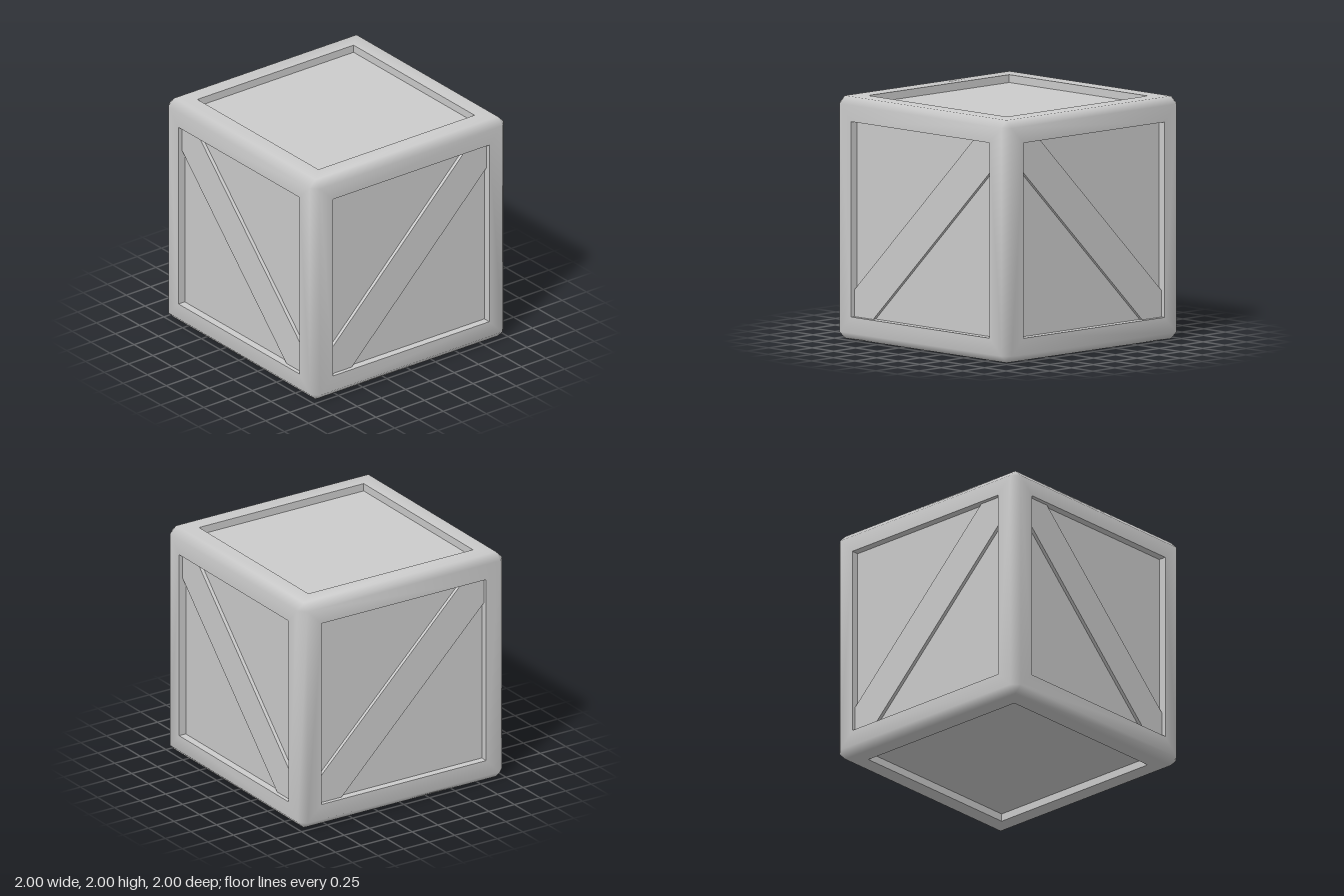
import * as THREE from 'three';
import { mergeVertices } from 'three/addons/utils/BufferGeometryUtils.js';

const OUTER = 0.94;   // where the bevel starts
const INNER = 0.805;  // half width of each recessed opening
const PANEL = 0.935;  // panel distance from the centre
const BRACE = 0.03;   // brace thickness

const grey = (options = {}) => new THREE.MeshStandardMaterial({ color: 0xcccccc, ...options });

// Bevelled frame: four border quads per face, a chamfer per edge, a triangle per corner
function frameGeometry() {
  const positions = [];
  const addTriangle = (a, b, c) => {
    const normal = b.clone().sub(a).cross(c.clone().sub(a));
    const outward = normal.dot(a.clone().add(b).add(c)) > 0;
    for (const p of outward ? [a, b, c] : [a, c, b]) positions.push(p.x, p.y, p.z);
  };
  const addQuad = (a, b, c, d) => { addTriangle(a, b, c); addTriangle(a, c, d); };
  // Point given by its coordinates along axis, axis + 1 and axis + 2
  const point = (axis, u, v, w) => {
    const p = new THREE.Vector3();
    [u, v, w].forEach((value, k) => p.setComponent((axis + k) % 3, value));
    return p;
  };
  const ring = [[-1, -1], [1, -1], [1, 1], [-1, 1]];

  for (let axis = 0; axis < 3; axis++) {
    for (const side of [-1, 1]) {
      ring.forEach(([v, w], i) => {
        const [v2, w2] = ring[(i + 1) % 4];
        addQuad(
          point(axis, side, v * OUTER, w * OUTER), point(axis, side, v2 * OUTER, w2 * OUTER),
          point(axis, side, v2 * INNER, w2 * INNER), point(axis, side, v * INNER, w * INNER));
      });
    }
    // Edge chamfers running along this axis
    for (const [v, w] of ring) {
      addQuad(
        point(axis, -OUTER, v, w * OUTER), point(axis, OUTER, v, w * OUTER),
        point(axis, OUTER, v * OUTER, w), point(axis, -OUTER, v * OUTER, w));
    }
  }
  for (const x of [-1, 1]) for (const [y, z] of ring) {
    addTriangle(
      new THREE.Vector3(x, y * OUTER, z * OUTER),
      new THREE.Vector3(x * OUTER, y, z * OUTER),
      new THREE.Vector3(x * OUTER, y * OUTER, z));
  }

  const geometry = new THREE.BufferGeometry();
  geometry.setAttribute('position', new THREE.Float32BufferAttribute(positions, 3));
  const smooth = mergeVertices(geometry, 1e-4);
  smooth.computeVertexNormals();
  return smooth;
}

// Diagonal brace trimmed to the opening; direction mirrors it
function braceGeometry(direction) {
  const h = INNER, c = 0.585;
  const outline = [[-h, h], [-h, c], [c, -h], [h, -h], [h, -c], [-c, h]];
  const shape = new THREE.Shape(outline.map(([x, y]) => new THREE.Vector2(x * direction, y)));
  return new THREE.ExtrudeGeometry(shape, { depth: BRACE, bevelEnabled: false });
}

export function createModel() {
  const crate = new THREE.Group();
  crate.name = 'crate';
  const body = new THREE.Group();
  body.name = 'body';
  body.position.y = 1;
  crate.add(body);

  const add = (parent, name, geometry, material = grey()) => {
    const mesh = new THREE.Mesh(geometry, material);
    mesh.name = name;
    parent.add(mesh);
    return mesh;
  };
  add(body, 'frame', frameGeometry());

  // Square sleeve lining each opening
  const sleeve = new THREE.CylinderGeometry(INNER * Math.SQRT2, INNER * Math.SQRT2, 1 - PANEL, 4, 1, true);
  sleeve.rotateY(Math.PI / 4).rotateX(Math.PI / 2);
  const panel = new THREE.PlaneGeometry(INNER * 2, INNER * 2);

  const q = Math.PI / 2;
  const faces = [
    { name: 'front', turn: [0, 0, 0], brace: 1 },
    { name: 'leftSide', turn: [0, q, 0], brace: -1 },
    { name: 'back', turn: [0, 2 * q, 0], brace: 1 },
    { name: 'rightSide', turn: [0, -q, 0], brace: -1 },
    { name: 'top', turn: [-q, 0, 0], brace: 0 },
    { name: 'bottom', turn: [q, 0, 0], brace: 0 },
  ];
  for (const { name, turn, brace } of faces) {
    const face = new THREE.Group();
    face.name = name;
    face.rotation.set(...turn);
    body.add(face);
    add(face, name + 'Panel', panel).position.z = PANEL;
    add(face, name + 'RecessWalls', sleeve, grey({ flatShading: true, side: THREE.DoubleSide }))
      .position.z = (1 + PANEL) / 2;
    if (brace) add(face, name + 'Brace', braceGeometry(brace)).position.z = PANEL;
  }
  return crate;
}
